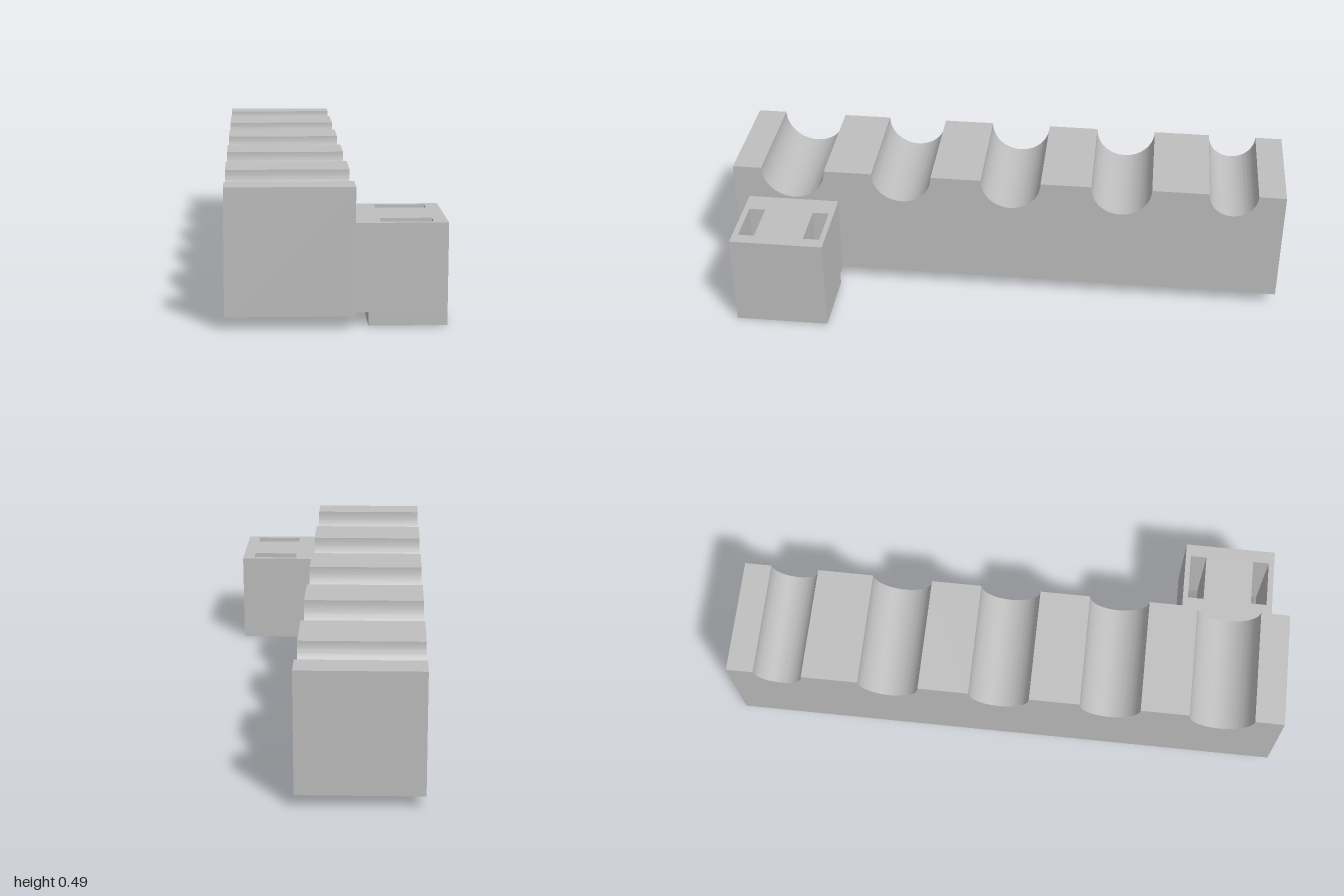
import * as THREE from 'three';
import { toCreasedNormals } from 'three/addons/utils/BufferGeometryUtils.js';

export function createModel() {
  const grey = new THREE.MeshStandardMaterial({ color: 0xbfbfbf });
  grey.name = 'grey';

  const model = new THREE.Group();
  model.name = 'grooveHolder';
  // The whole holder lies diagonally: local x runs along the bar, local z across it
  model.rotation.y = Math.PI / 4;

  const add = (name, geometry) => {
    const mesh = new THREE.Mesh(toCreasedNormals(geometry, 0.5), grey);
    mesh.name = name;
    model.add(mesh);
  };

  // Long bar with five round grooves across its top
  const x0 = -0.997, x1 = 1.124, bottom = 0.047, top = 0.49;
  const z0 = -0.29, z1 = 0.152;
  const radii = [0.123, 0.115, 0.115, 0.115, 0.092];
  const profile = new THREE.Shape();
  profile.moveTo(x0, bottom).lineTo(x1, bottom).lineTo(x1, top);
  for (let i = 4; i >= 0; i--) {
    const c = -0.763 + i * 0.423, r = radii[i];
    profile.lineTo(c + r, top);
    profile.absarc(c, top, r, 0, -Math.PI, true);
  }
  profile.lineTo(x0, top).closePath();
  const bar = new THREE.ExtrudeGeometry(profile, { depth: z1 - z0, bevelEnabled: false, curveSegments: 32 });
  bar.translate(0, 0, z0);
  add('groovedBar', bar);

  // Rectangle in plan, as [xMin, xMax, zMin, zMax]
  const rect = (path, [a, b, c, d]) =>
    path.moveTo(a, -d).lineTo(b, -d).lineTo(b, -c).lineTo(a, -c).closePath();

  // Upright block layer with vertical through-holes
  const layer = (name, outline, holes, y0, y1) => {
    const shape = rect(new THREE.Shape(), outline);
    shape.holes = holes.map(h => rect(new THREE.Path(), h));
    const g = new THREE.ExtrudeGeometry(shape, { depth: y1 - y0, bevelEnabled: false });
    g.rotateX(-Math.PI / 2).translate(0, y0, 0);
    add(name, g);
  };

  // Side block: two strap slots, joined by a shallow recess underneath
  const slots = [[-0.921, -0.859, 0.242, 0.421], [-0.672, -0.61, 0.242, 0.421]];
  const foot = [-0.943, -0.59, 0.2, 0.47];
  layer('blockRecessedFoot', foot, [[-0.921, -0.61, 0.242, 0.421]], 0, 0.018);
  layer('blockFoot', foot, slots, 0.018, bottom);
  layer('blockBody', [-0.943, -0.59, z1, 0.47], slots, bottom, 0.357);

  const root = new THREE.Group();
  root.add(model);
  return root;
}
